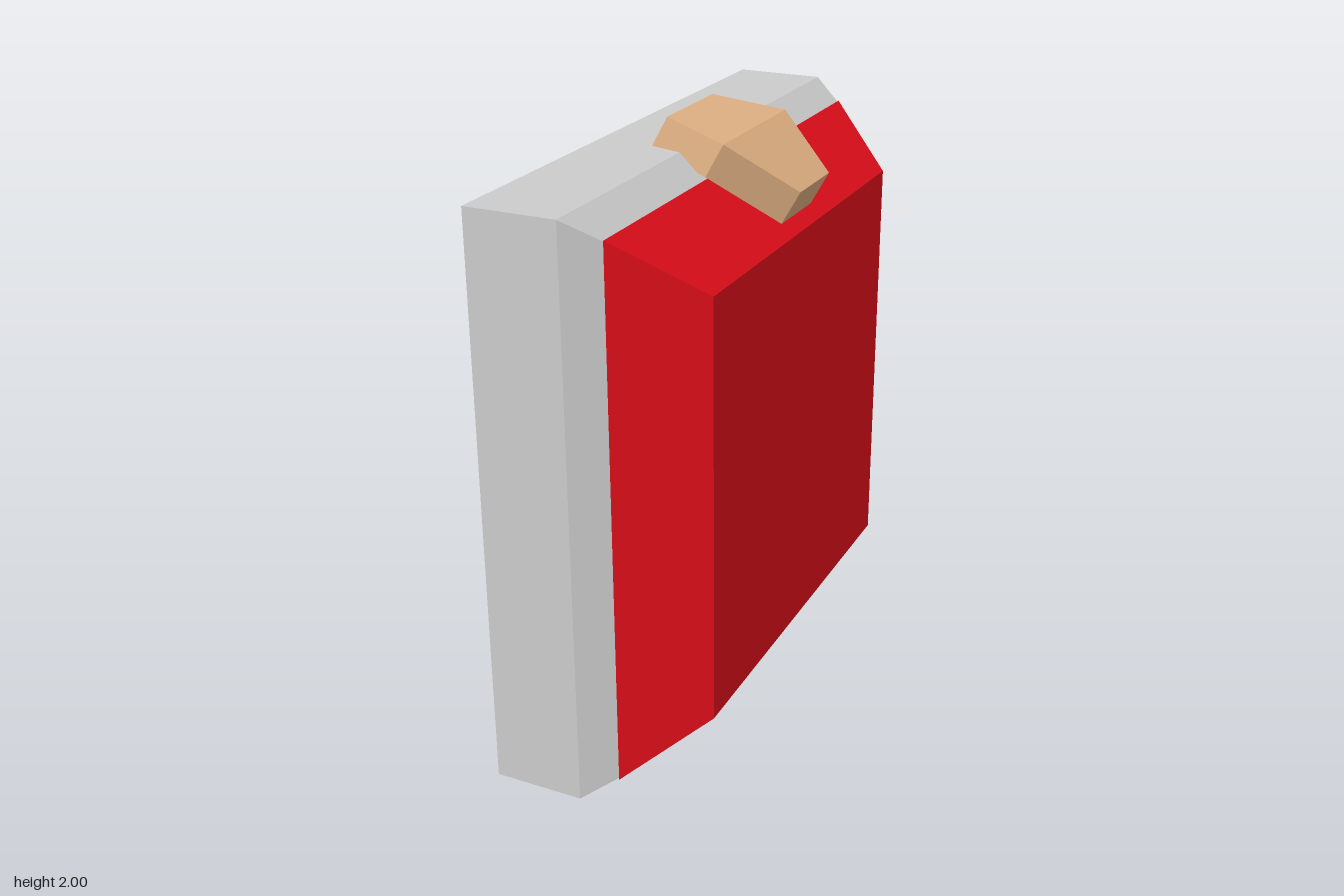
import * as THREE from 'three';

// Skin a row of four-cornered sections running along +x, with capped ends.
// Corner order: top +z, bottom +z, bottom -z, top -z.
function loft(name, sections, color) {
  const pos = [];
  const quad = (a, b, c, d) => pos.push(...a, ...b, ...c, ...a, ...c, ...d);
  for (let i = 0; i < sections.length - 1; i++) {
    const s = sections[i], t = sections[i + 1];
    for (let j = 0; j < 4; j++) {
      const k = (j + 1) % 4;
      quad(s[j], s[k], t[k], t[j]);
    }
  }
  quad(...[...sections[0]].reverse());
  quad(...sections[sections.length - 1]);
  const geo = new THREE.BufferGeometry();
  geo.setAttribute('position', new THREE.Float32BufferAttribute(pos, 3));
  geo.computeVertexNormals();
  const mesh = new THREE.Mesh(geo, new THREE.MeshStandardMaterial({ color, flatShading: true }));
  mesh.name = name;
  return mesh;
}

// Upright square section at x, centred on the panel
const CENTRE_Y = 0.951;
const square = (x, h) => [[1, 1], [-1, 1], [-1, -1], [1, -1]]
  .map(([y, z]) => [x, CENTRE_Y + y * h, z * h]);

// Slanted section of the clasp: top edge at (x, y), bottom edge offset by its thickness
const slab = (x, y, w) => [
  [x, y, w], [x - 0.06, y - 0.108, w], [x - 0.06, y - 0.108, -w], [x, y, -w],
];

export function createModel() {
  const group = new THREE.Group();
  group.name = 'model';

  // Grey base with a chamfered rim
  group.add(loft('base', [square(-0.337, 0.951), square(-0.037, 0.951), square(0.07, 0.883)], 0xcccccc));

  // Red raised panel with bevelled edges
  group.add(loft('raisedPanel', [square(0.07, 0.888), square(0.313, 0.703)], 0xe30f1a));

  // Tan bent clasp over the top edge
  group.add(loft('clasp', [slab(-0.094, 2, 0.165), slab(0.13, 1.955, 0.24), slab(0.333, 1.8, 0.12)], 0xe0b083));

  return group;
}
